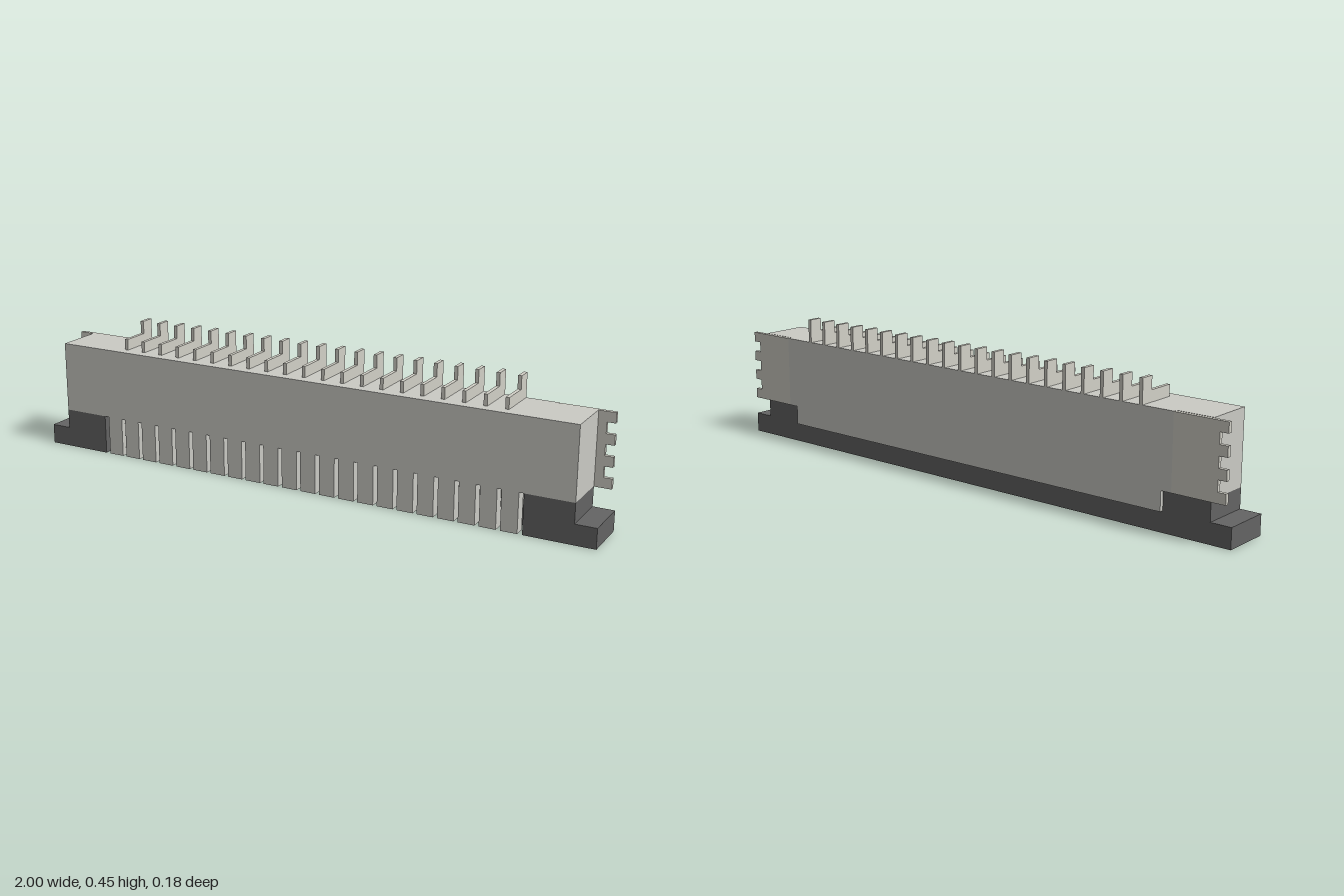
import * as THREE from 'three';

const plastic = new THREE.MeshStandardMaterial({ color: 0xcbcbc5 });
const metal = new THREE.MeshStandardMaterial({ color: 0xd2d0c7 });
const dark = new THREE.MeshStandardMaterial({ color: 0x646464 });

const BACK = -0.075, FRONT = 0.088, REAR = -0.088;
const PITCH = 0.0692, GAP = 0.014;

function add(parent, name, geometry, material) {
  const mesh = new THREE.Mesh(geometry, material);
  mesh.name = name;
  parent.add(mesh);
  return mesh;
}

// Box given by its limits on each axis
function block(parent, name, material, x0, x1, y0, y1, z0, z1) {
  const mesh = add(parent, name, new THREE.BoxGeometry(x1 - x0, y1 - y0, z1 - z0), material);
  mesh.position.set((x0 + x1) / 2, (y0 + y1) / 2, (z0 + z1) / 2);
  return mesh;
}

function extrude(points, depth) {
  const shape = new THREE.Shape(points.map(([x, y]) => new THREE.Vector2(x, y)));
  return new THREE.ExtrudeGeometry(shape, { depth, bevelEnabled: false });
}

export function createModel() {
  const model = new THREE.Group();
  model.name = 'ribbonConnector';

  // Housing with its lower rear web
  block(model, 'housing', plastic, -0.93, 0.93, 0.133, 0.373, BACK, FRONT);
  block(model, 'rearWeb', plastic, -0.77, 0.77, 0.067, 0.133, BACK, 0.012);

  // Back plate, stepped down in the middle
  const plate = [[-0.77, 0.067], [0.77, 0.067], [0.77, 0.131], [0.805, 0.131],
    [0.805, 0.373], [-0.805, 0.373], [-0.805, 0.131], [-0.77, 0.131]];
  add(model, 'backPlate', extrude(plate, BACK - REAR), plastic).position.z = REAR;

  // Dark base bar, leaving an open slot behind the front teeth
  block(model, 'baseBar', dark, -0.77, 0.77, 0, 0.067, BACK, 0.012);

  for (const side of [-1, 1]) {
    // Stepped end foot
    const foot = [[0.77, 0], [1, 0], [1, 0.067], [0.93, 0.067], [0.93, 0.133], [0.77, 0.133]];
    // Side clip with four prongs on its outer edge
    const clip = [[0.805, 0.131]];
    for (let i = 0; i < 4; i++) {
      const y = 0.131 + i * 0.0692;
      if (i > 0) clip.push([0.957, y]);
      clip.push([0.985, y], [0.985, y + 0.0335]);
      if (i < 3) clip.push([0.957, y + 0.0335]);
    }
    clip.push([0.805, 0.3721]);

    const mirror = (pts) => (side > 0 ? pts : pts.map(([x, y]) => [-x, y]).reverse());
    const label = side > 0 ? 'left' : 'right';
    add(model, label + 'Foot', extrude(mirror(foot), FRONT - BACK), dark).position.z = BACK;
    add(model, label + 'Clip', extrude(mirror(clip), BACK - REAR), metal).position.z = REAR;
  }

  // Row of flat teeth along the lower front
  const teeth = new THREE.Group();
  teeth.name = 'frontTeeth';
  model.add(teeth);
  for (let i = 0; i < 22; i++) {
    const x = (i - 10.5) * PITCH, half = (PITCH - GAP) / 2;
    block(teeth, 'tooth', plastic, x - half, x + half, 0, 0.133, 0.05, FRONT);
  }

  // Contacts: an L-shaped tail above, a short blade in the slot below
  const contacts = new THREE.Group();
  contacts.name = 'contacts';
  model.add(contacts);
  const tail = extrude([[-0.053, 0.373], [0.088, 0.373], [0.088, 0.453],
    [0.041, 0.453], [0.041, 0.41], [-0.053, 0.41]], 0.012);
  tail.translate(0, 0, -0.006).rotateY(Math.PI / 2);
  for (let i = 0; i < 21; i++) {
    const x = (i - 10) * PITCH;
    add(contacts, 'contactTail', tail, metal).position.x = x;
    block(contacts, 'contactBlade', metal, x - 0.005, x + 0.005, 0.067, 0.133, 0.012, 0.06);
  }
  return model;
}
